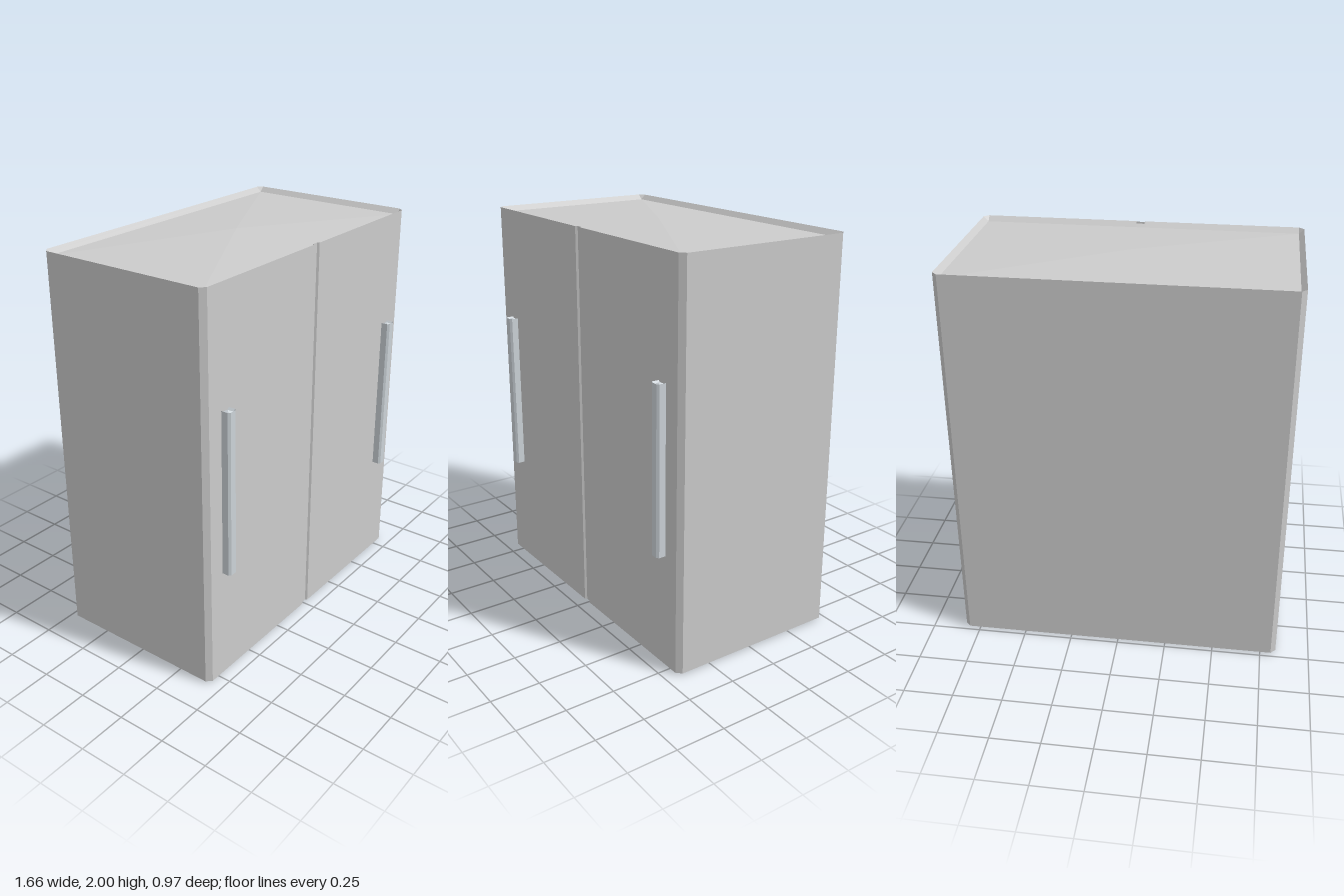
import * as THREE from 'three';

const grey = new THREE.MeshStandardMaterial({ color: 0xcccccc, flatShading: true });
const metal = new THREE.MeshStandardMaterial({ color: 0xccd3d8, flatShading: true });
const dark = new THREE.MeshStandardMaterial({ color: 0xa4a6a8, flatShading: true });

// Box with chamfered edges, centred, lofted from horizontal rings.
// An optional groove { outer, inner, depth } runs down the middle of the front.
function chamferedBox(w, h, d, c, groove) {
  const X = w / 2, Y = h / 2, Z = d / 2;
  const ring = (inset, y) => {
    const pts = [[-X + c, Z - inset]];
    if (groove) {
      const floor = Z - Math.max(inset, groove.depth);
      pts.push([-groove.outer, Z - inset], [-groove.inner, floor],
        [groove.inner, floor], [groove.outer, Z - inset]);
    }
    pts.push([X - c, Z - inset], [X - inset, Z - c], [X - inset, -Z + c], [X - c, -Z + inset],
      [-X + c, -Z + inset], [-X + inset, -Z + c], [-X + inset, Z - c]);
    return pts.map(([x, z]) => new THREE.Vector3(x, y, z));
  };
  const insets = groove ? [c, groove.depth, 0] : [c, 0];
  const rings = [
    ...insets.map((i) => ring(i, -Y + i)),
    ...insets.slice().reverse().map((i) => ring(i, Y - i)),
  ];
  const verts = [];
  // Triangles that collapse at the corners are skipped
  const tri = (p, q, r) => {
    if (new THREE.Triangle(p, q, r).getArea() > 1e-9) verts.push(p, q, r);
  };
  const n = rings[0].length;
  const top = new THREE.Vector3(0, Y, 0), bottom = new THREE.Vector3(0, -Y, 0);
  const last = rings[rings.length - 1];
  for (let i = 0; i < n; i++) {
    const j = (i + 1) % n;
    for (let k = 0; k < rings.length - 1; k++) {
      const lo = rings[k], hi = rings[k + 1];
      tri(lo[i], lo[j], hi[j]);
      tri(lo[i], hi[j], hi[i]);
    }
    tri(top, last[i], last[j]);
    tri(bottom, rings[0][j], rings[0][i]);
  }
  const geometry = new THREE.BufferGeometry().setFromPoints(verts);
  geometry.computeVertexNormals();
  return geometry;
}

export function createModel() {
  const model = new THREE.Group();
  model.name = 'cabinet';
  const add = (name, geometry, material, x, y, z) => {
    const mesh = new THREE.Mesh(geometry, material);
    mesh.name = name;
    mesh.position.set(x, y, z);
    model.add(mesh);
  };

  // Cabinet body with the gap between the two doors
  const gap = { outer: 0.024, inner: 0.017, depth: 0.01 };
  add('body', chamferedBox(1.66, 1.99, 0.925, 0.025, gap), grey, 0, 1.005, -0.0225);

  // Recessed base plate
  add('base', new THREE.BoxGeometry(1.48, 0.03, 0.73), dark, 0, 0.015, -0.0225);

  // Upright door handles
  const handle = chamferedBox(0.054, 0.835, 0.06, 0.01);
  add('leftHandle', handle, metal, 0.693, 1.005, 0.454);
  add('rightHandle', handle, metal, -0.693, 1.005, 0.454);

  return model;
}
